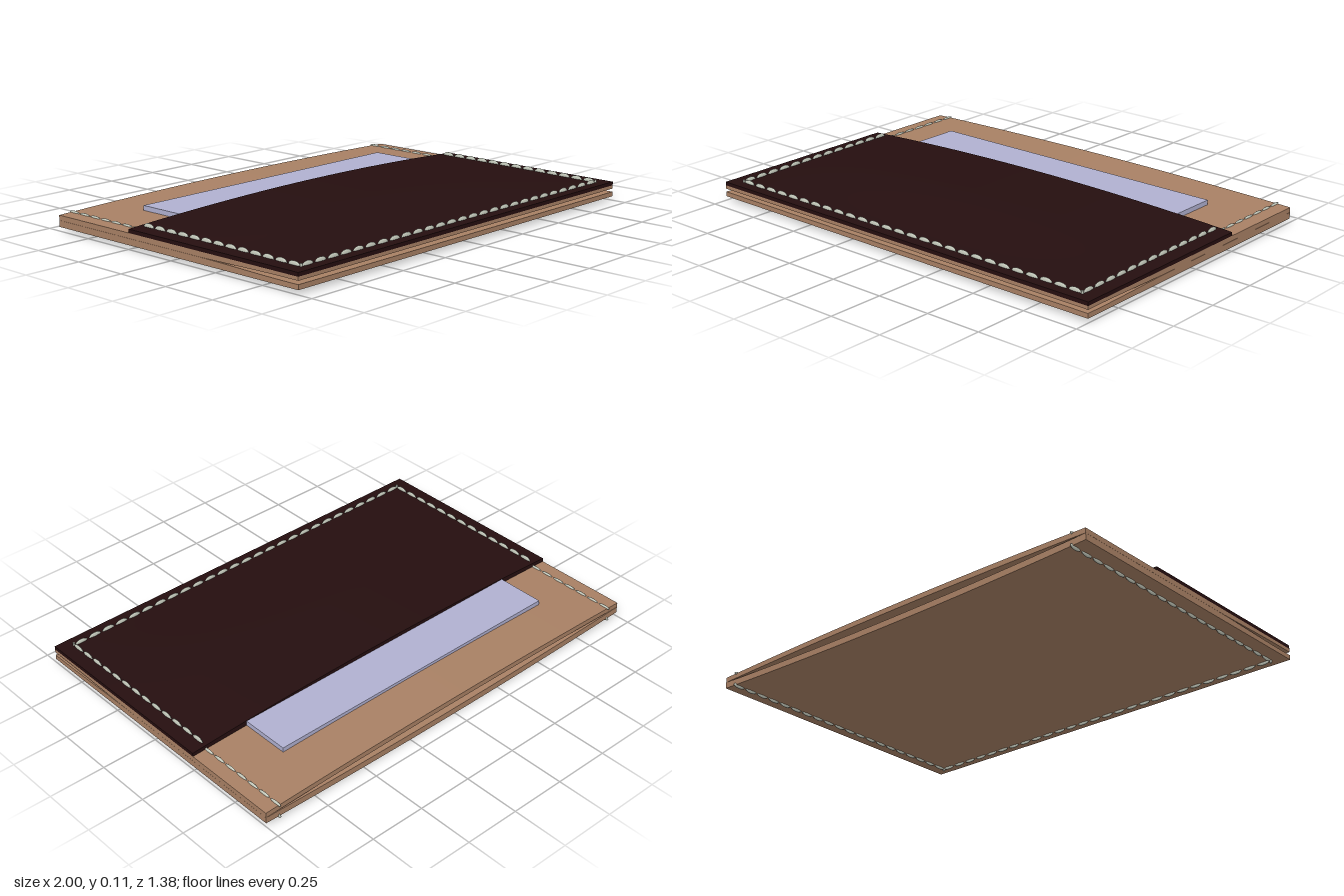
import * as THREE from 'three';

export function createModel() {
  const group = new THREE.Group();
  group.name = 'cardHolder';
  const mat = (name, color) => {
    const m = new THREE.MeshStandardMaterial({ color });
    m.name = name;
    return m;
  };
  const tan = mat('tan leather', 0xa88064);
  const dark = mat('dark leather', 0x250e0f);
  const lavender = mat('lavender card', 0xb0b0d0);
  const thread = mat('pale thread', 0xc4c9bb);

  // Pillow shape: full in the middle and at the back, flat at the sides and front seam
  const puff = (x, z) => (1 - x * x) * (1 - THREE.MathUtils.smoothstep(z, 0.12, 0.72));
  const split = (z) => THREE.MathUtils.smoothstep(z, 0.15, 0.62);
  const lowerOuter = (x, z) => 0.02 - 0.018 * puff(x, z);
  const lowerInner = (x, z) => 0.0475 - 0.018 * puff(x, z) - 0.007 * split(z);
  const upperInner = (x, z) => 0.048 + 0.014 * puff(x, z) + 0.007 * split(z);
  const upperOuter = (x, z) => 0.07 + 0.015 * puff(x, z);
  const pocketOuter = (x, z) => 0.086 + 0.029 * puff(x, z);

  // Sheet of leather between two height functions
  function sheet(name, material, z0, z1, bottom, top) {
    const geo = new THREE.BoxGeometry(2, 1, z1 - z0, 40, 1, 32);
    geo.translate(0, 0, (z0 + z1) / 2);
    const p = geo.attributes.position;
    for (let i = 0; i < p.count; i++) {
      const f = p.getY(i) > 0 ? top : bottom;
      p.setY(i, f(p.getX(i), p.getZ(i)));
    }
    geo.computeVertexNormals();
    const mesh = new THREE.Mesh(geo, material);
    mesh.name = name;
    group.add(mesh);
  }
  sheet('backPanel', tan, -0.683, 0.683, lowerOuter, lowerInner);
  sheet('middlePanel', tan, -0.683, 0.683, upperInner, upperOuter);
  sheet('frontPocket', dark, -0.247, 0.683, upperOuter, pocketOuter);

  // Cards: one showing above the front pocket, one inside the main pocket
  function card(name, y, h, z0, z1) {
    const mesh = new THREE.Mesh(new THREE.BoxGeometry(1.46, h, z1 - z0), lavender);
    mesh.position.set(0, y, (z0 + z1) / 2);
    mesh.name = name;
    group.add(mesh);
  }
  card('pocketCard', 0.087, 0.022, -0.468, 0.1);
  card('innerCard', 0.0475, 0.012, -0.45, 0.34);

  // Stitches: slim rounded beads along a U-shaped seam, on both faces
  const bead = new THREE.SphereGeometry(1, 10, 6);
  function stitch(x, z, alongX, y, height) {
    const mesh = new THREE.Mesh(bead, thread);
    mesh.scale.set(alongX ? 0.031 : 0.006, height, alongX ? 0.006 : 0.031);
    mesh.position.set(x, y, z);
    mesh.name = 'stitch';
    group.add(mesh);
  }
  function stitchBoth(x, z, alongX) {
    const onPocket = z > -0.24;
    stitch(x, z, alongX, (onPocket ? pocketOuter : upperOuter)(x, z), onPocket ? 0.016 : 0.008);
    stitch(x, z, alongX, lowerOuter(x, z), 0.012);
  }
  for (const x of [-0.935, 0.935]) {
    for (let i = 0; i < 20; i++) stitchBoth(x, 0.6 - i * 0.0665, false);
    // Thread passing through the corner
    const knot = new THREE.Mesh(new THREE.CylinderGeometry(0.005, 0.005, 0.09, 8), thread);
    knot.position.set(x, 0.053, 0.635);
    knot.name = 'cornerThread';
    group.add(knot);
  }
  for (let i = 0; i < 27; i++) stitchBoth((i - 13) * 0.0692, 0.633, true);

  return group;
}
